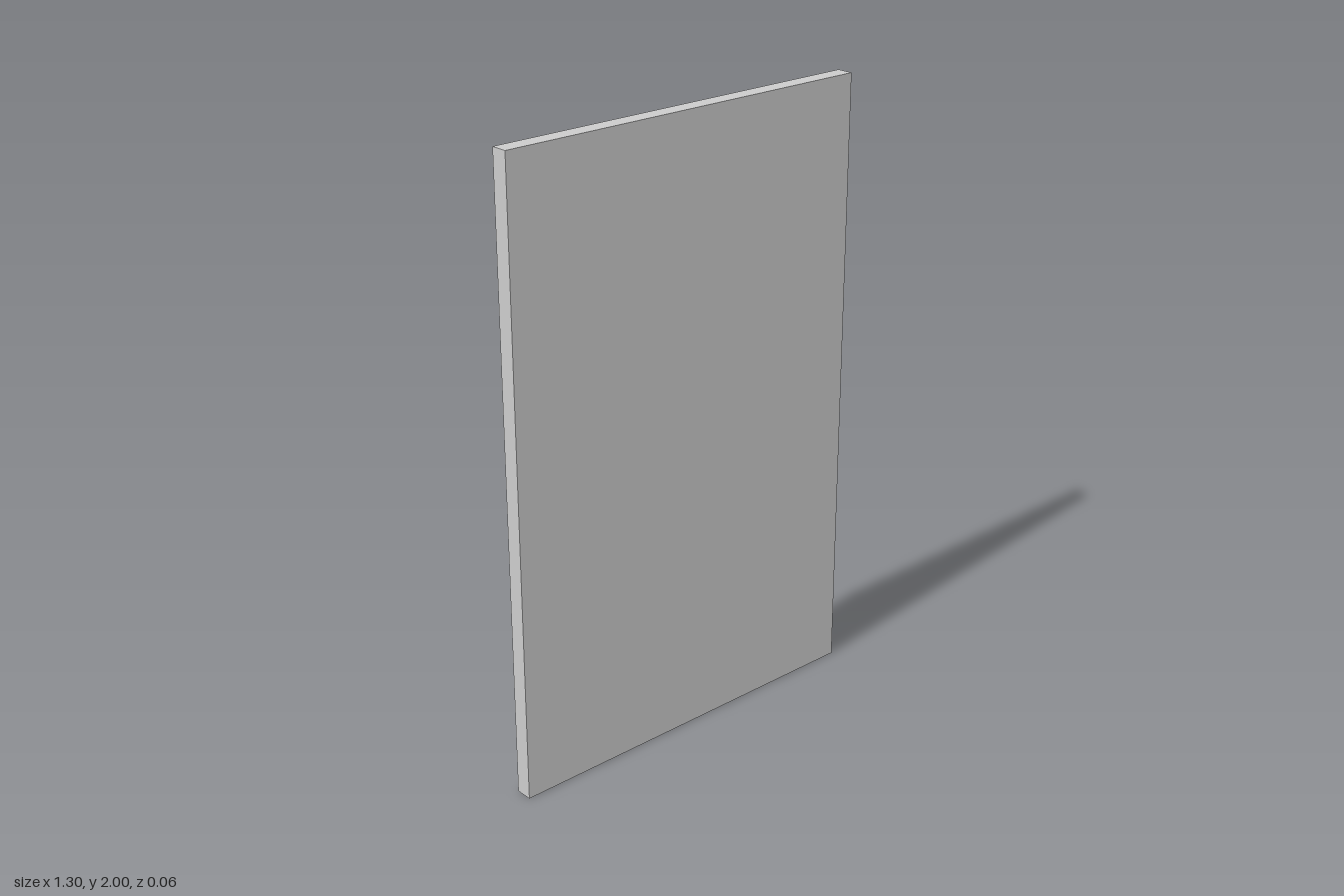
import * as THREE from 'three';

const HALF_W = 0.65, HEIGHT = 2, FRONT = 0.03, PANEL_BACK = -0.01, RAIL = 0.076;

// Moulding cross-section: [inset from the outer edge, z], from the front face round to the panel
const PROFILE = [
  [RAIL, FRONT], [0, FRONT], [0, -0.024],
  [0.018, -0.03], [0.024, -0.03],   // outer ridge
  [0.032, -0.016], [0.036, -0.016], // groove
  [0.054, -0.026], [0.06, -0.026],  // inner ridge
  [0.068, -0.014], [RAIL, PANEL_BACK],
];

// Sweeps the profile round the rectangle with mitred corners
function mitredFrame(profile) {
  const signs = [[1, -1], [1, 1], [-1, 1], [-1, -1]];
  const corner = ([inset, z], k) => {
    const [sx, sy] = signs[k % 4];
    return [sx * (HALF_W - inset), HEIGHT / 2 + sy * (HEIGHT / 2 - inset), z];
  };
  const pos = [];
  for (let i = 0; i < profile.length - 1; i++) {
    for (let k = 0; k < 4; k++) {
      const a = corner(profile[i], k), b = corner(profile[i], k + 1);
      const c = corner(profile[i + 1], k + 1), d = corner(profile[i + 1], k);
      pos.push(...a, ...d, ...c, ...a, ...c, ...b);
    }
  }
  const geo = new THREE.BufferGeometry();
  geo.setAttribute('position', new THREE.Float32BufferAttribute(pos, 3));
  geo.computeVertexNormals();
  return geo;
}

export function createModel() {
  const group = new THREE.Group();
  const material = new THREE.MeshStandardMaterial({ color: 0xcccccc, flatShading: true });

  const frame = new THREE.Mesh(mitredFrame(PROFILE), material);
  frame.name = 'mouldedFrame';
  group.add(frame);

  // Flat panel filling the frame
  const panel = new THREE.Mesh(
    new THREE.BoxGeometry(2 * (HALF_W - RAIL), HEIGHT - 2 * RAIL, FRONT - PANEL_BACK), material);
  panel.position.set(0, HEIGHT / 2, (FRONT + PANEL_BACK) / 2);
  panel.name = 'panel';
  group.add(panel);

  return group;
}
